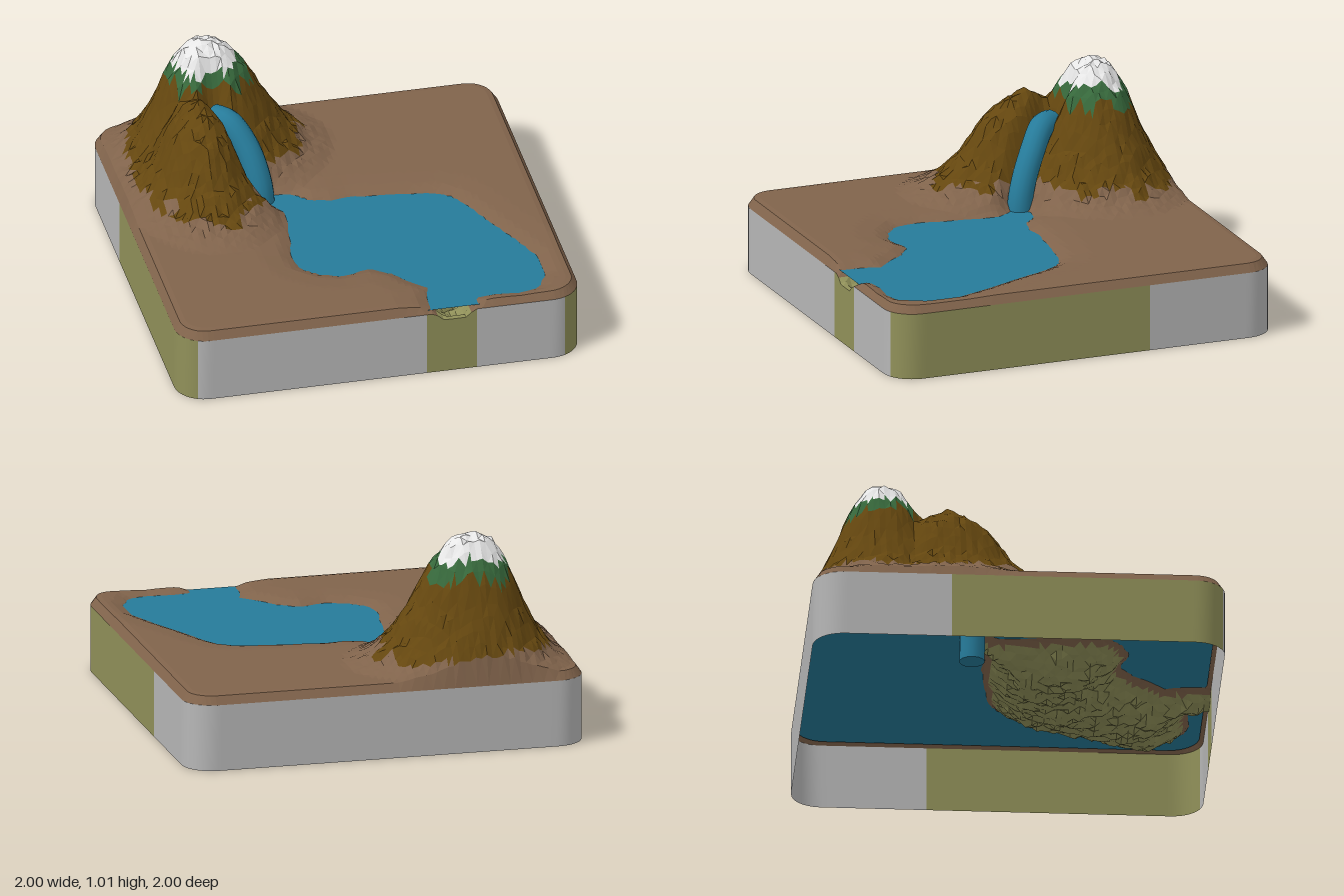
import * as THREE from 'three';

const mat = (name, color) => new THREE.MeshStandardMaterial({ name, color, side: THREE.DoubleSide });
const N = 72, CORNER = 0.15, WATER_Y = 0.342, RIM_Y = 0.33;

// Lake outline as x, z pairs, including the inlet and the outlet through the front edge
const LAKE = [
  [-0.33, -0.17], [-0.25, -0.22], [-0.17, -0.2], [-0.1, -0.13], [0, -0.11], [0.1, -0.12], [0.25, -0.1], [0.4, -0.08],
  [0.5, -0.06], [0.57, -0.02], [0.63, 0.08], [0.7, 0.25], [0.78, 0.42], [0.86, 0.62], [0.86, 0.78], [0.8, 0.89],
  [0.7, 0.92], [0.58, 0.9], [0.48, 0.92], [0.47, 1.1], [0.25, 1.1], [0.25, 0.9], [0.28, 0.78], [0.2, 0.7],
  [0.15, 0.62], [0.04, 0.54], [-0.1, 0.58], [-0.2, 0.54], [-0.28, 0.47], [-0.3, 0.35], [-0.27, 0.2], [-0.25, 0.05],
  [-0.24, -0.05], [-0.27, -0.1],
];

// Height profiles as distance, height pairs
const MAIN_PEAK = [[0, 1.01], [0.12, 0.97], [0.22, 0.85], [0.32, 0.66], [0.42, 0.51], [0.52, 0.42], [0.64, 0.375]];
const LOW_PEAK = [[0, 0.86], [0.13, 0.79], [0.23, 0.7], [0.33, 0.55], [0.43, 0.46], [0.53, 0.41], [0.64, 0.375]];
const GORGE = [[0, 0.68], [0.3, 0.64], [0.6, 0.5], [0.85, 0.38], [1, 0.32]];
const SHORE = [[-0.35, 0.17], [-0.18, 0.2], [-0.08, 0.27], [0, WATER_Y], [0.06, 0.365], [0.16, 0.375]];

function sample(table, d) {
  if (d <= table[0][0]) return table[0][1];
  for (let i = 1; i < table.length; i++) {
    const [d0, h0] = table[i - 1], [d1, h1] = table[i];
    if (d <= d1) return h0 + (h1 - h0) * (d - d0) / (d1 - d0);
  }
  return table[table.length - 1][1];
}

// Repeatable noise in -1..1
function noise(i, j) {
  const s = Math.sin(i * 127.1 + j * 311.7) * 43758.5453;
  return 2 * (s - Math.floor(s)) - 1;
}

function toSegment(x, z, [ax, az], [bx, bz]) {
  const dx = bx - ax, dz = bz - az;
  const t = THREE.MathUtils.clamp(((x - ax) * dx + (z - az) * dz) / (dx * dx + dz * dz), 0, 1);
  return [Math.hypot(x - ax - t * dx, z - az - t * dz), t];
}

// Signed distance to the shore, negative in the lake
function shoreDistance(x, z) {
  let best = Infinity, inside = false;
  LAKE.forEach((a, i) => {
    const b = LAKE[(i + 1) % LAKE.length];
    best = Math.min(best, toSegment(x, z, a, b)[0]);
    if ((a[1] > z) !== (b[1] > z) && x < a[0] + (b[0] - a[0]) * (z - a[1]) / (b[1] - a[1])) inside = !inside;
  });
  return inside ? -best : best;
}

// Distance from a peak with its own reach on each side
function reach(x, z, px, pz, left, right, back, front) {
  const dx = x - px, dz = z - pz;
  return Math.hypot(dx / (dx < 0 ? left : right), dz / (dz < 0 ? back : front));
}

function terrainHeight(x, z, edge, i, j) {
  const sd = shoreDistance(x, z);
  const peaks = Math.max(
    sample(MAIN_PEAK, reach(x, z, -0.52, -0.65, 0.75, 1, 0.72, 0.85)),
    sample(LOW_PEAK, reach(x, z, -0.6, -0.33, 0.65, 0.65, 1, 1)));
  let rise = (peaks - 0.375) * THREE.MathUtils.smoothstep(sd, 0, 0.08);
  rise += noise(i, j) * Math.min(0.012, rise * 0.15);
  let h = sample(SHORE, sd) + rise + (sd < -0.05 ? noise(j, i) * 0.012 : 0);
  // Gorge behind the waterfall
  const [d, t] = toSegment(x, z, [-0.5, -0.42], [-0.32, -0.19]);
  h = Math.min(h, Math.max(sample(GORGE, t) + Math.max(0, d - 0.03) * 2.6, sample(SHORE, sd)));
  // Rounded rim of the slab; the outlet cuts through it
  const k = Math.min(1, edge / 0.05);
  const rim = RIM_Y + (h - RIM_Y) * Math.sqrt(1 - (1 - k) ** 2);
  return h < RIM_Y ? Math.max(h, edge < 0.05 ? 0.29 : 0) : rim;
}

// Grid point bent to a square with round corners
function gridPoint(i, j) {
  let x = -1 + 2 * i / N, z = -1 + 2 * j / N;
  const edge = 1 - Math.max(Math.abs(x), Math.abs(z));
  const a = Math.abs(x) - 1 + CORNER, b = Math.abs(z) - 1 + CORNER;
  if (a > 0 && b > 0) {
    const s = Math.max(a, b) / Math.hypot(a, b);
    x = Math.sign(x) * (1 - CORNER + a * s);
    z = Math.sign(z) * (1 - CORNER + b * s);
  }
  return new THREE.Vector3(x, terrainHeight(x, z, edge, i, j), z);
}

export function createModel() {
  const group = new THREE.Group();
  const mats = {
    soil: mat('brown soil', 0x80634b),
    slope: mat('dark mountain earth', 0x65470f),
    forest: mat('forest green', 0x37693c),
    snow: mat('snow white', 0xe6e6e6),
    sand: mat('olive sand', 0x909059),
    stone: mat('grey stone', 0xb6b6b6),
    water: mat('lake blue', 0x267b9a),
  };
  const add = (name, geometry, material) => {
    const mesh = new THREE.Mesh(geometry, material);
    mesh.name = name;
    group.add(mesh);
    return mesh;
  };

  // Terrain faces sorted by ground type
  const grid = [];
  for (let j = 0; j <= N; j++) for (let i = 0; i <= N; i++) grid.push(gridPoint(i, j));
  const at = (i, j) => grid[j * (N + 1) + i];
  const faces = { soil: [], slope: [], forest: [], snow: [], sand: [] };
  const addFace = (a, b, c, i, j) => {
    const y = (a.y + b.y + c.y) / 3, z = (a.z + b.z + c.z) / 3;
    const r = noise(Math.floor(i / 3), Math.floor(j / 3) + 50);
    let kind = 'soil';
    if (y < 0.315) kind = 'sand';
    else if (z < -0.47 && y > 0.895 + r * 0.02) kind = 'snow';
    else if (z < -0.45 && y > 0.81 + r * 0.04) kind = 'forest';
    else if (y > 0.45 + r * 0.03) kind = 'slope';
    for (const p of [a, b, c]) faces[kind].push(p.x, p.y, p.z);
  };
  for (let j = 0; j < N; j++) for (let i = 0; i < N; i++) {
    const a = at(i, j), b = at(i, j + 1), c = at(i + 1, j + 1), d = at(i + 1, j);
    if ((i + j) % 2) { addFace(a, b, d, i, j); addFace(b, c, d, i, j); }
    else { addFace(a, b, c, i, j); addFace(a, c, d, i, j); }
  }
  const names = { soil: 'ground', slope: 'mountainSlopes', forest: 'forestBelt', snow: 'snowCap', sand: 'lakeBed' };
  for (const kind in faces) {
    const g = new THREE.BufferGeometry();
    g.setAttribute('position', new THREE.Float32BufferAttribute(faces[kind], 3));
    g.computeVertexNormals();
    add(names[kind], g, mats[kind]);
  }

  // Side wall of the slab, open below
  const loop = [];
  for (let i = 0; i < N; i++) loop.push(at(i, N));
  for (let i = N; i > 0; i--) loop.push(at(N, i));
  for (let i = N; i > 0; i--) loop.push(at(i, 0));
  for (let i = 0; i < N; i++) loop.push(at(0, i));
  const wall = new THREE.BufferGeometry(), wallPos = [], wallIndex = [];
  loop.forEach((p, i) => {
    const n = (i + 1) % loop.length, q = loop[n];
    wallPos.push(p.x, p.y, p.z, p.x, 0, p.z);
    const x = (p.x + q.x) / 2, z = (p.z + q.z) / 2;
    const sandy = (Math.abs(x) > 0.91 && z > -0.33) || (z > 0.9 && x > 0.23 && x < 0.485);
    wall.addGroup(i * 6, 6, sandy ? 1 : 0);
    wallIndex.push(2 * i, 2 * i + 1, 2 * n, 2 * i + 1, 2 * n + 1, 2 * n);
  });
  wall.setAttribute('position', new THREE.Float32BufferAttribute(wallPos, 3));
  wall.setIndex(wallIndex);
  wall.computeVertexNormals();
  add('slabWall', wall, [mats.stone, mats.sand]);

  // Water sheet across the slab
  const s = 0.98, r = s - CORNER, sheet = new THREE.Shape();
  sheet.absarc(r, r, CORNER, 0, Math.PI / 2);
  sheet.absarc(-r, r, CORNER, Math.PI / 2, Math.PI);
  sheet.absarc(-r, -r, CORNER, Math.PI, Math.PI * 1.5);
  sheet.absarc(r, -r, CORNER, Math.PI * 1.5, Math.PI * 2);
  add('lakeWater', new THREE.ShapeGeometry(sheet).rotateX(-Math.PI / 2).translate(0, WATER_Y, 0), mats.water);

  // Waterfall running down the gorge and below the water
  const path = new THREE.CatmullRomCurve3([
    [-0.51, 0.7, -0.43], [-0.45, 0.7, -0.36], [-0.38, 0.6, -0.28], [-0.34, 0.47, -0.22], [-0.325, 0.36, -0.195],
    [-0.325, 0.18, -0.195],
  ].map(p => new THREE.Vector3(...p)));
  add('waterfall', new THREE.TubeGeometry(path, 28, 0.062, 14), mats.water);
  add('waterfallEnd', new THREE.CircleGeometry(0.062, 14).rotateX(Math.PI / 2).translate(-0.325, 0.18, -0.195), mats.water);

  return group;
}
